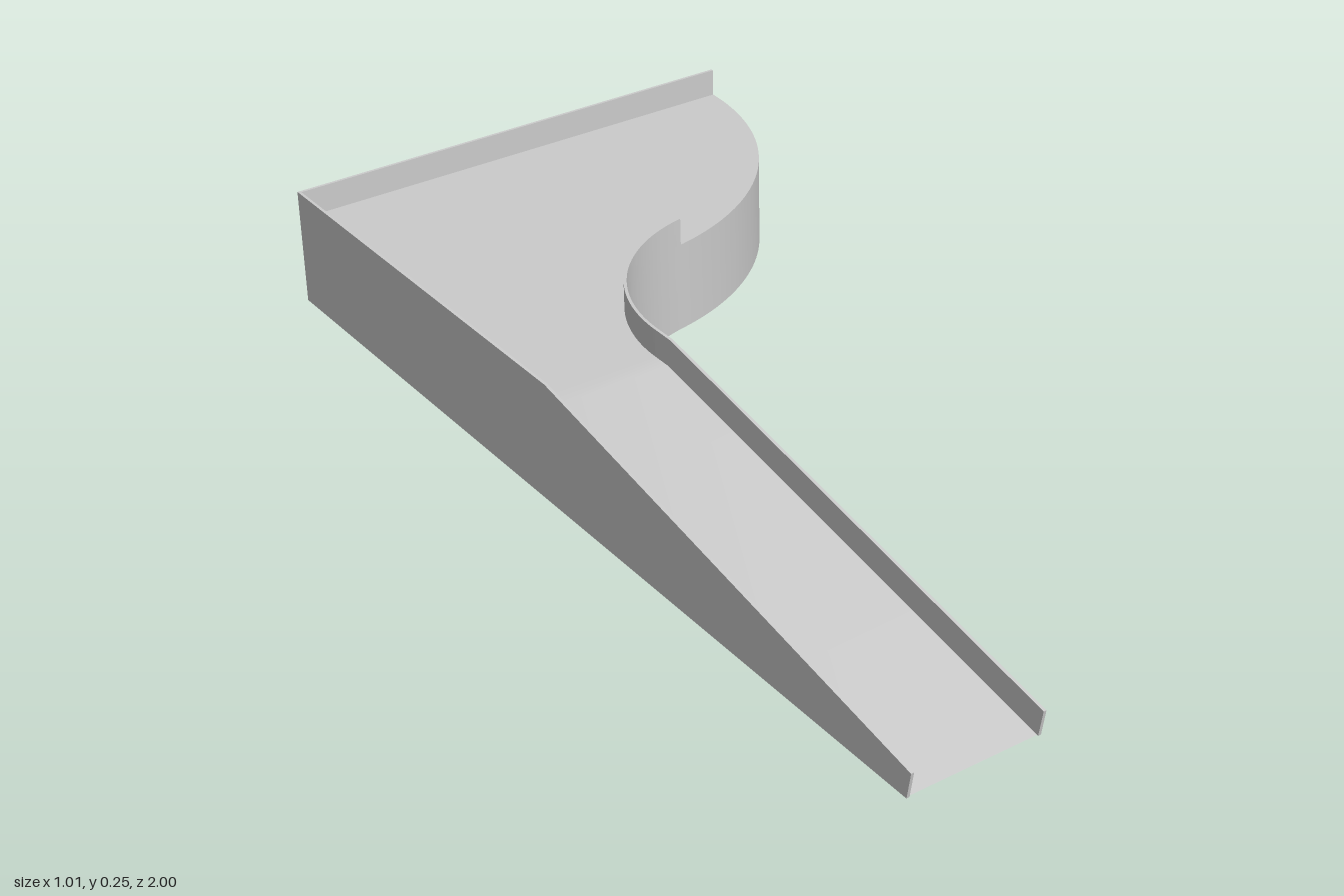
import * as THREE from 'three';
import { toCreasedNormals } from 'three/addons/utils/BufferGeometryUtils.js';

const DECK = 0.19, TOP = 0.248, T = 0.006;   // deck height, wall top, wall thickness
const LEFT = -0.505, INNER = -0.23, RIGHT = 0.505;
const HINGE = -0.07, JOIN = -0.111;          // z where the ramp starts, z where the curve ends
const R = 0.345, CX = 0.115, CY = 0.111;     // concave arc, plan coordinates (x, -z)
const A0 = THREE.MathUtils.degToRad(100.8);

const material = new THREE.MeshStandardMaterial({ color: 0xcccccc, side: THREE.DoubleSide });

function extrude(shape, depth) {
  const g = new THREE.ExtrudeGeometry(shape, { depth, bevelEnabled: false, curveSegments: 40 });
  return toCreasedNormals(g, 0.5);
}

function add(group, name, geometry) {
  const mesh = new THREE.Mesh(geometry, material);
  mesh.name = name;
  group.add(mesh);
}

// Plan outline in (x, -z), raised from y0 to y1
function fromPlan(shape, y0, y1) {
  return extrude(shape, y1 - y0).rotateX(-Math.PI / 2).translate(0, y0, 0);
}

// Side outline in (z, y), spread from x0 to x1
function fromSide(points, x0, x1) {
  const shape = new THREE.Shape(points.map(([z, y]) => new THREE.Vector2(z, y)));
  return extrude(shape, x1 - x0).rotateY(-Math.PI / 2).translate(x1, 0, 0);
}

export function createModel() {
  const group = new THREE.Group();
  group.name = 'rampPlatform';

  // Raised deck with an S-curved front edge
  const deck = new THREE.Shape();
  deck.moveTo(LEFT + T, -JOIN);
  deck.lineTo(LEFT + T, 1 - T);
  deck.lineTo(RIGHT, 1 - T);
  deck.absarc(-0.055, 1, 0.56, -0.011, THREE.MathUtils.degToRad(-79.2), true);
  deck.absarc(CX, CY, R, A0, Math.PI, false);
  add(group, 'deck', fromPlan(deck, 0, DECK));

  // Sloping ramp between the side walls
  add(group, 'ramp', fromSide(
    [[JOIN, 0], [0.987, 0], [HINGE, DECK], [JOIN, DECK]], LEFT + T, INNER - T));

  // Side walls follow the slope and end square to it
  const wall = (zBack) => [[zBack, 0], [0.99, 0], [1, 0.055], [-0.06, TOP], [zBack, TOP]];
  add(group, 'outerWall', fromSide(wall(-1), LEFT, LEFT + T));
  add(group, 'innerWall', fromSide(wall(JOIN), INNER - T, INNER));

  // Curved lip along the concave edge of the deck
  const lip = new THREE.Shape();
  lip.absarc(CX, CY, R, A0, Math.PI, false);
  lip.absarc(CX, CY, R + T, Math.PI, A0, true);
  add(group, 'curvedWall', fromPlan(lip, DECK, TOP));

  // Back wall
  const width = RIGHT - LEFT - T;
  add(group, 'backWall', new THREE.BoxGeometry(width, TOP, T)
    .translate(LEFT + T + width / 2, TOP / 2, -1 + T / 2));

  return group;
}
